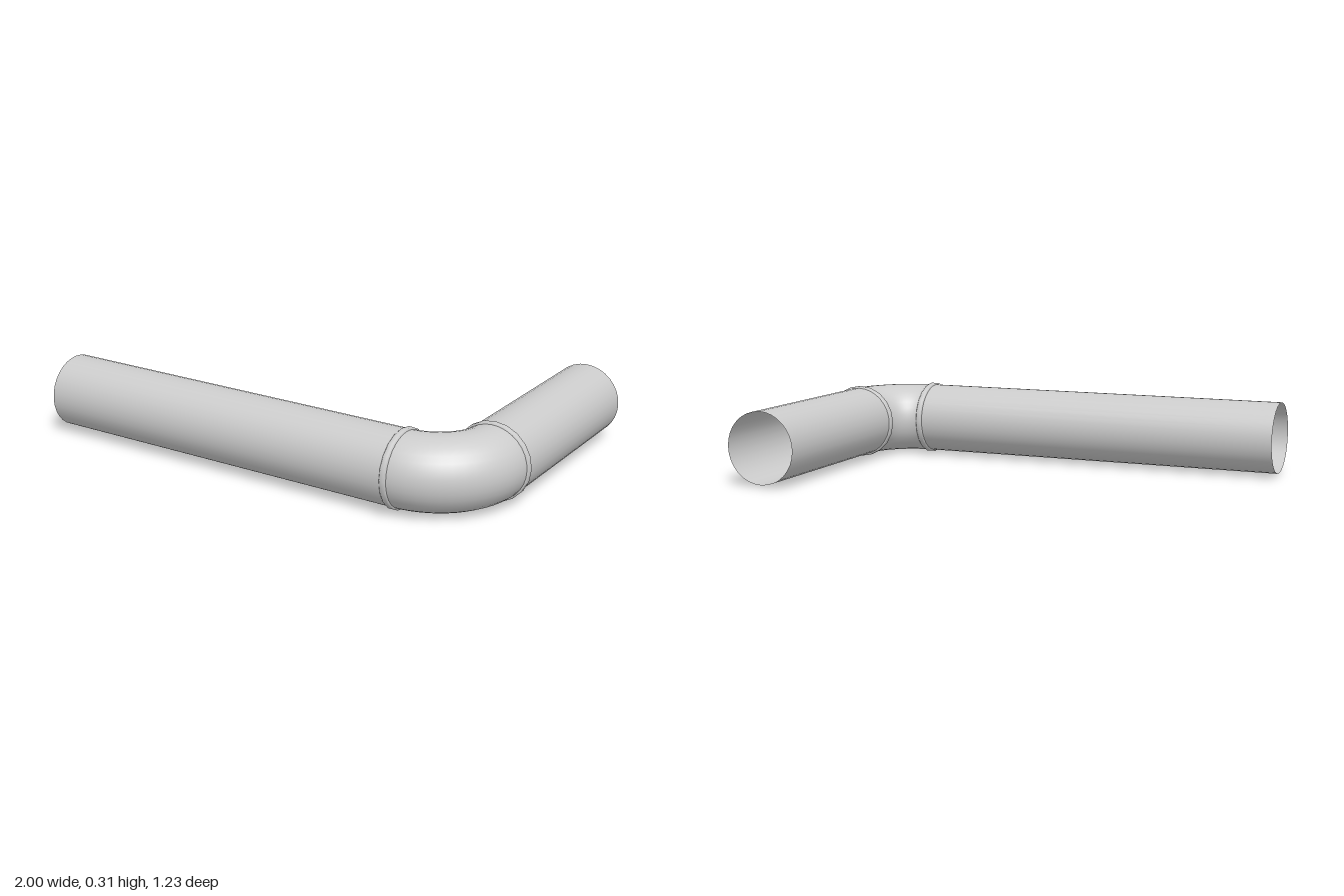
import * as THREE from 'three';

const R = 0.149;          // pipe radius
const Y = 0.157;          // height of the pipe axis
const BEND = 0.242;       // elbow centreline radius
const CX = 0.601, CZ = 0.215; // elbow turning centre
const SIDES = 32;

export function createModel() {
  const group = new THREE.Group();
  const material = new THREE.MeshStandardMaterial({ color: 0xcccccc, side: THREE.DoubleSide });

  const add = (name, geometry, x, z) => {
    const mesh = new THREE.Mesh(geometry, material);
    mesh.name = name;
    mesh.position.set(x, Y, z);
    group.add(mesh);
    return mesh;
  };

  // Straight open pipes
  const tube = (length) => new THREE.CylinderGeometry(R, R, length, SIDES, 1, true);
  const longLength = CX + 1;
  add('longPipe', tube(longLength).rotateZ(Math.PI / 2), -1 + longLength / 2, CZ + BEND);
  const shortLength = CZ + 0.614;
  add('shortPipe', tube(shortLength).rotateX(Math.PI / 2), CX + BEND, -0.614 + shortLength / 2);

  // Quarter-turn elbow, from the short pipe (+x) round to the long pipe (+z)
  add('elbow', new THREE.TorusGeometry(BEND, R, SIDES, 14, Math.PI / 2).rotateX(Math.PI / 2), CX, CZ);

  // Rounded collars over the two joints
  const collar = () => new THREE.LatheGeometry([
    [R - 0.003, -0.014], [R + 0.004, -0.013], [R + 0.008, -0.008],
    [R + 0.008, 0.008], [R + 0.004, 0.013], [R - 0.003, 0.014],
  ].map(([r, h]) => new THREE.Vector2(r, h)), 20);
  add('longPipeCollar', collar().rotateZ(Math.PI / 2), CX, CZ + BEND);
  add('shortPipeCollar', collar().rotateX(Math.PI / 2), CX + BEND, CZ);

  return group;
}
